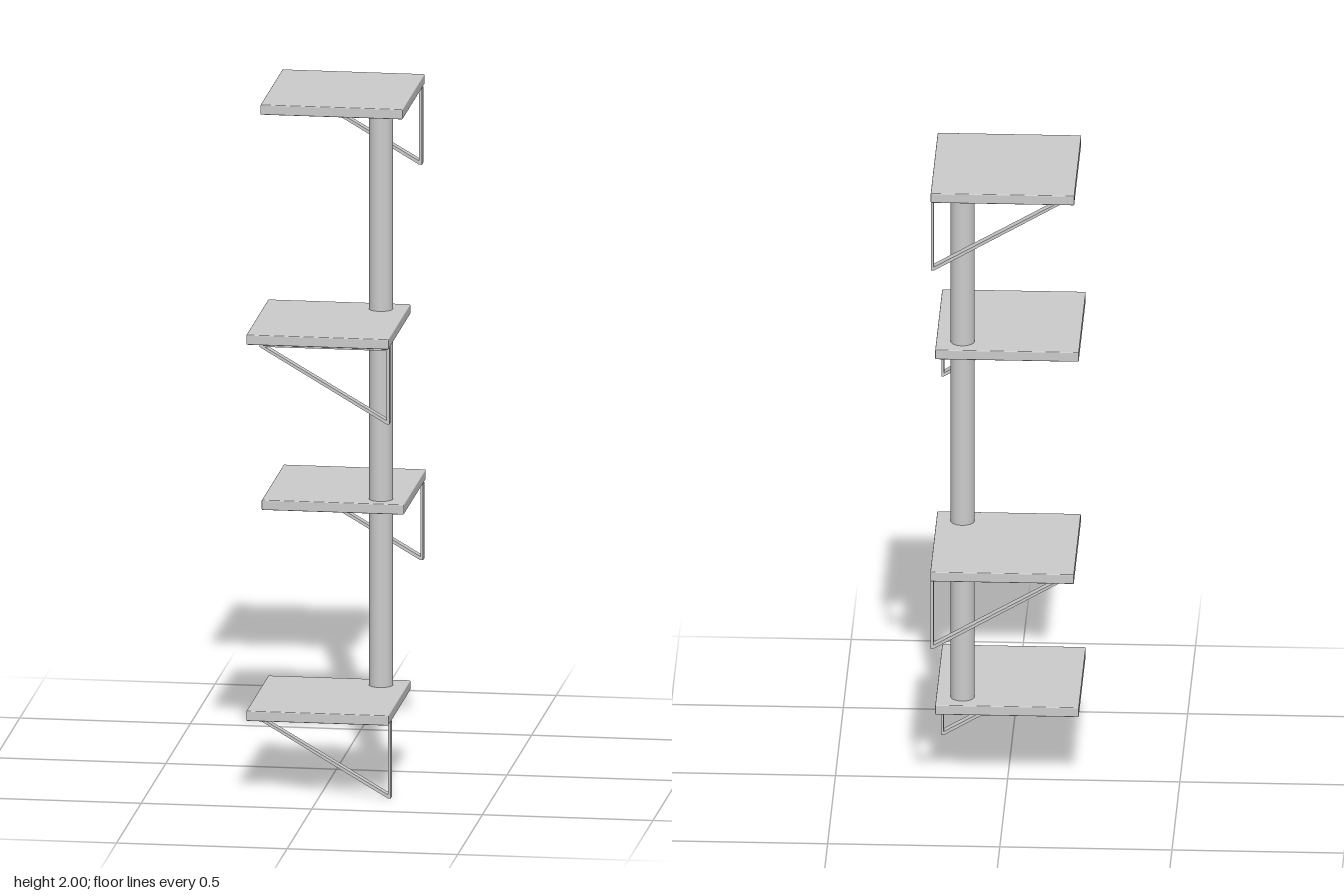
import * as THREE from 'three';
import { RoundedBoxGeometry } from 'three/addons/geometries/RoundedBoxGeometry.js';

const mat = new THREE.MeshStandardMaterial({ color: 0xcccccc });

function mesh(name, geometry, x, y, z) {
  const m = new THREE.Mesh(geometry, mat);
  m.name = name;
  m.position.set(x, y, z);
  return m;
}

// Triangular strap bracket; its origin is at the underside of the shelf
function bracketGeometry(width) {
  const outline = new THREE.Shape([
    new THREE.Vector2(-0.172, 0), new THREE.Vector2(-0.172, -0.009),
    new THREE.Vector2(0.2, -0.227), new THREE.Vector2(0.208, -0.227),
    new THREE.Vector2(0.208, 0),
  ]);
  outline.holes.push(new THREE.Path([
    new THREE.Vector2(-0.158, -0.008), new THREE.Vector2(0.2, -0.008),
    new THREE.Vector2(0.2, -0.216),
  ]));
  const g = new THREE.ExtrudeGeometry(outline, { depth: width, bevelEnabled: false });
  return g.translate(0, 0, -width / 2);
}

export function createModel() {
  const root = new THREE.Group();
  root.name = 'catClimbingShelves';

  // Post passing through the shelves
  root.add(mesh('post', new THREE.CylinderGeometry(0.035, 0.035, 1.74, 40), 0.131, 1.11, 0.002));

  // Shelves alternate front and back: top height, centre z, bracket z
  const thickness = 0.03;
  const board = new RoundedBoxGeometry(0.417, thickness, 0.448, 2, 0.003);
  const bracket = bracketGeometry(0.027);
  const levels = [
    [0.26, 0.157, 0.325],
    [0.815, -0.156, -0.332],
    [1.382, 0.157, 0.351],
    [2.0, -0.131, -0.31],
  ];
  levels.forEach(([top, z, bracketZ], i) => {
    const level = new THREE.Group();
    level.name = `shelfLevel${i + 1}`;
    level.add(mesh('shelf', board, -0.001, top - thickness / 2, z));
    level.add(mesh('bracket', bracket, 0, top - thickness, bracketZ));
    root.add(level);
  });
  return root;
}
